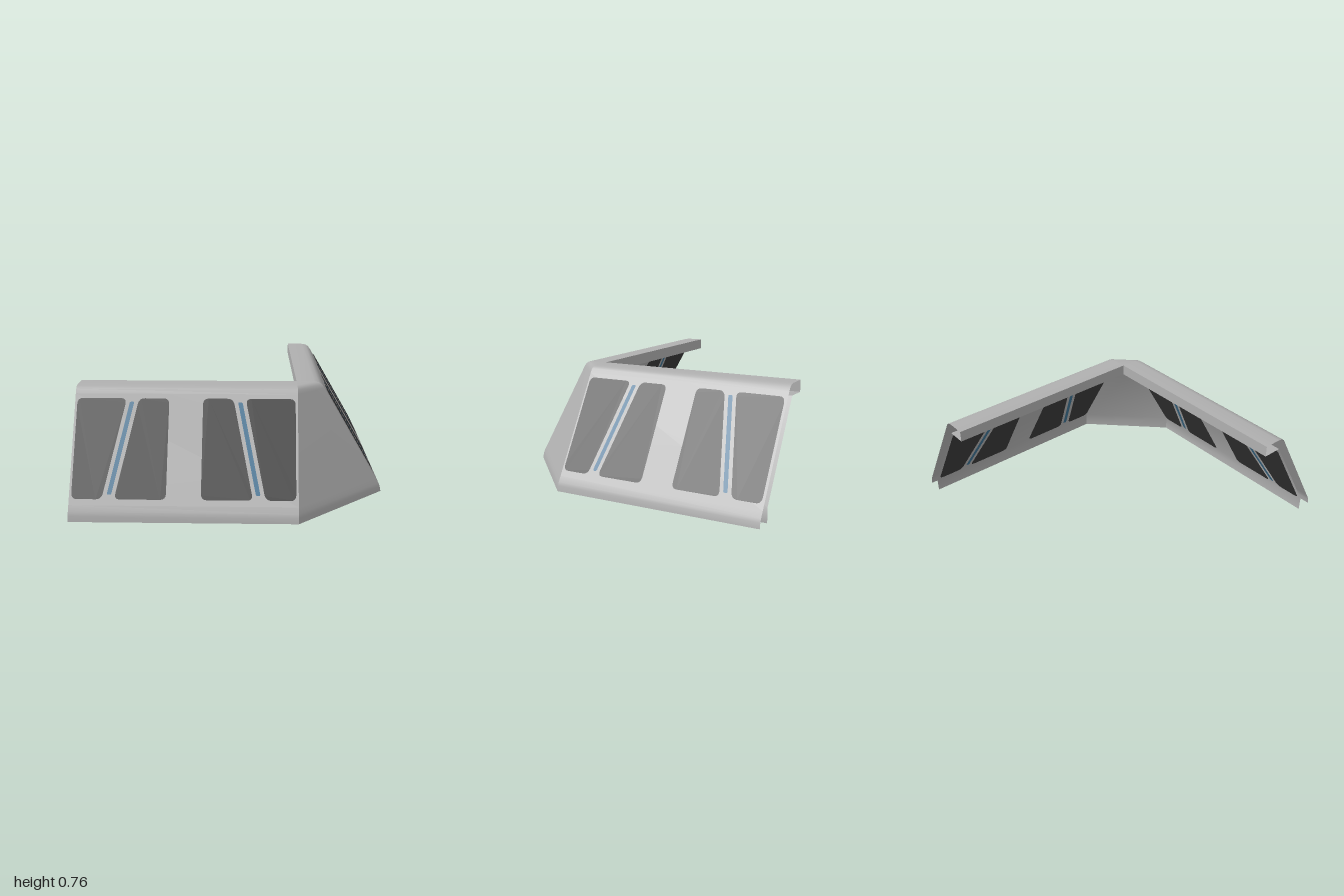
import * as THREE from 'three';
import { toCreasedNormals } from 'three/addons/utils/BufferGeometryUtils.js';

const mat = (name, color) => {
  const m = new THREE.MeshStandardMaterial({ color, side: THREE.DoubleSide });
  m.name = name;
  return m;
};

// Cross-sections as [distance outward, height]
const OUTER = [[0.415, 0.76], [0.53, 0.76], [0.56, 0.755], [0.583, 0.741], [0.6, 0.715],
  [0.962, 0.095], [0.984, 0.058], [0.993, 0.035], [1, 0]];
const INNER = [[0.415, 0.76], [0.415, 0.685], [0.548, 0.685], [0.892, 0.095], [0.892, 0]];
const END = -1, CORNER = 0.415;

// Distance outward of the sloping outer face at height y
const slope = (y) => 0.6 + (0.715 - y) * (0.362 / 0.62);

// The two wings mirror each other across the diagonal x = z
const place = {
  front: (u, y, d) => new THREE.Vector3(u, y, d),
  side: (u, y, d) => new THREE.Vector3(d, y, u),
};

// Ruled sheet between two sections
function loft(a, b) {
  const pos = [];
  const tri = (p, q, r) => {
    const n = q.clone().sub(p).cross(r.clone().sub(p));
    if (n.length() > 1e-7) for (const v of [p, q, r]) pos.push(v.x, v.y, v.z);
  };
  for (let i = 0; i < a.length - 1; i++) {
    tri(a[i], a[i + 1], b[i + 1]);
    tri(a[i], b[i + 1], b[i]);
  }
  const g = new THREE.BufferGeometry();
  g.setAttribute('position', new THREE.Float32BufferAttribute(pos, 3));
  return toCreasedNormals(g, 0.65);
}

// Polygon with rounded corners
function roundedShape(pts, r) {
  const s = new THREE.Shape();
  const v = pts.map(([x, y]) => new THREE.Vector2(x, y));
  v.forEach((p, i) => {
    const prev = v[(i + v.length - 1) % v.length], next = v[(i + 1) % v.length];
    const a = p.clone().add(prev.clone().sub(p).setLength(r));
    const b = p.clone().add(next.clone().sub(p).setLength(r));
    if (i === 0) s.moveTo(a.x, a.y); else s.lineTo(a.x, a.y);
    s.quadraticCurveTo(p.x, p.y, b.x, b.y);
  });
  s.closePath();
  return s;
}

// Flat shape laid onto a sloping face of one wing
function onSlope(shape, wing, inside) {
  const g = new THREE.ShapeGeometry(shape, 6);
  const p = g.attributes.position;
  for (let i = 0; i < p.count; i++) {
    const y = p.getY(i) - (inside ? 0.025 : 0);
    const v = place[wing](p.getX(i), y, slope(y) + (inside ? -0.078 : 0.006));
    p.setXYZ(i, v.x, v.y, v.z);
  }
  g.computeVertexNormals();
  return g;
}

export function createModel() {
  const group = new THREE.Group();
  const shell = mat('shell grey', 0xb0b0b0);
  const dark = mat('panel charcoal', 0x3b3b3b);
  const blue = mat('stripe blue', 0x417698);
  const add = (name, geo, m) => {
    const mesh = new THREE.Mesh(geo, m);
    mesh.name = name;
    group.add(mesh);
  };

  // Outer and inner skins: front wing, chamfered corner, side wing
  for (const [skin, profile] of [['outer', OUTER], ['inner', INNER]]) {
    const section = (wing, u) => profile.map(([d, y]) => place[wing](u, y, d));
    const path = [section('front', END), section('front', CORNER),
      section('side', CORNER), section('side', END)];
    ['FrontWing', 'Corner', 'SideWing'].forEach((part, i) =>
      add(skin + part, loft(path[i], path[i + 1]), shell));
  }

  // Split panels and slanted stripes, mirrored about the middle of each wing
  const details = [
    ['panel', dark, 0.036, [[-0.985, 0.13], [-0.797, 0.13], [-0.67, 0.69], [-0.985, 0.69]]],
    ['panel', dark, 0.036, [[-0.72, 0.13], [-0.4, 0.13], [-0.4, 0.69], [-0.592, 0.69]]],
    ['stripe', blue, 0.01, [[-0.766, 0.155], [-0.738, 0.155], [-0.622, 0.67], [-0.65, 0.67]]],
  ];
  const middle = -0.2925;
  for (const wing of ['front', 'side']) {
    for (const inside of [false, true]) {
      for (const mirrored of [false, true]) {
        for (const [name, m, r, pts] of details) {
          const p = mirrored ? pts.map(([u, y]) => [2 * middle - u, y]).reverse() : pts;
          add(`${wing}Wing${inside ? 'Inner' : 'Outer'}${name === 'panel' ? 'Panel' : 'Stripe'}`,
            onSlope(roundedShape(p, r), wing, inside), m);
        }
      }
    }
  }
  return group;
}
